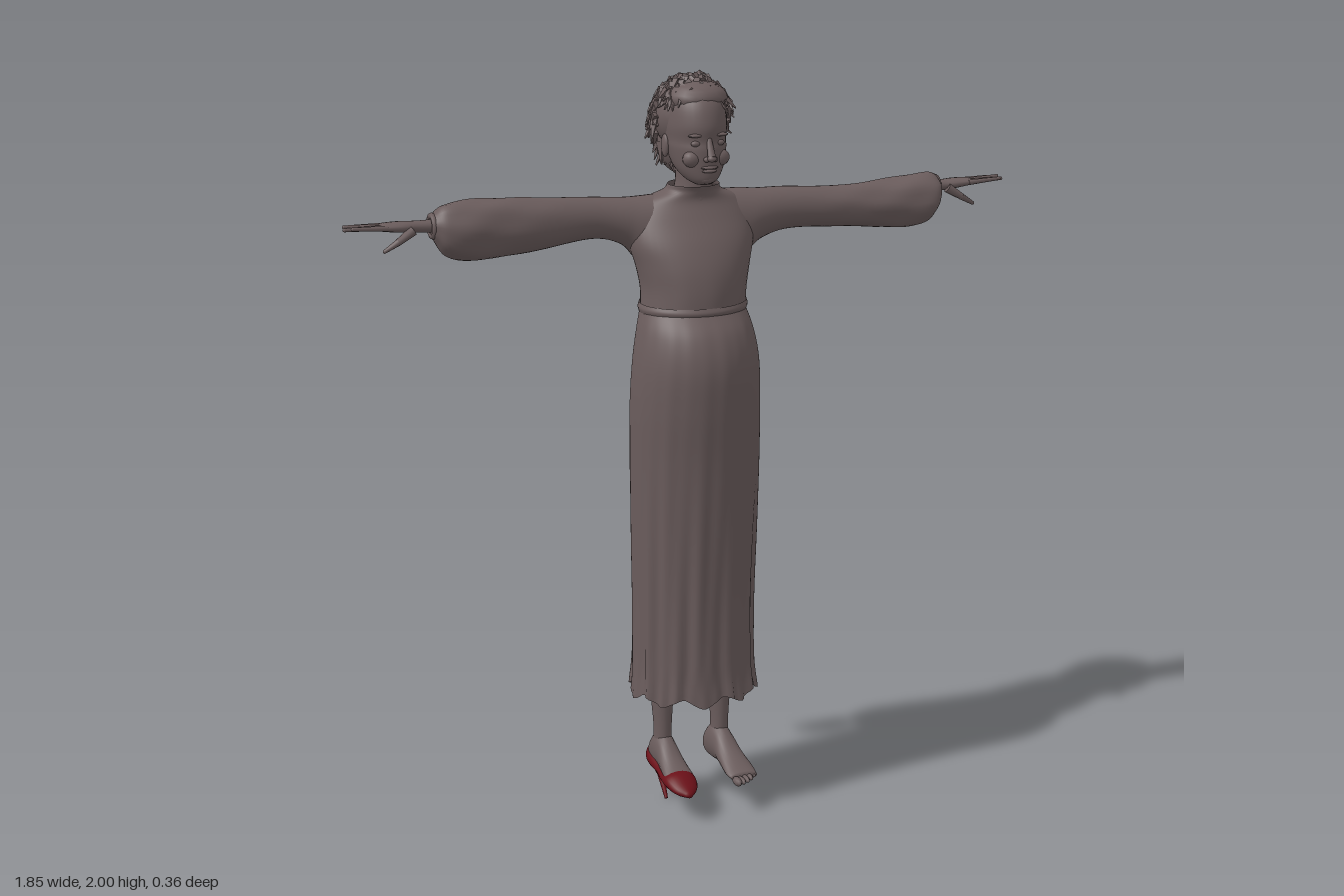
import * as THREE from 'three';
import { mergeGeometries } from 'three/addons/utils/BufferGeometryUtils.js';

const grey = new THREE.MeshStandardMaterial({ color: 0x6a5c5c, side: THREE.DoubleSide });
grey.name = 'grey brown';
const red = new THREE.MeshStandardMaterial({ color: 0x6a1018, side: THREE.DoubleSide });
red.name = 'dark red';

let seed = 7;
const rnd = () => (seed = (seed * 16807) % 2147483647) / 2147483647;
const V = (x, y, z) => new THREE.Vector3(x, y, z);
const { smoothstep, lerp } = THREE.MathUtils;

// Closed rings along an axis. Row: [t, a0, a1, b0, b1]; axis y -> a=z b=x, x -> a=y b=z, z -> a=x b=y
function loft(axis, rows, { seg = 28, sub = 5, fold = () => 1, shift = () => 0, caps = true } = {}) {
  rows = [...rows].sort((p, q) => p[0] - q[0]);
  const c1 = new THREE.CatmullRomCurve3(rows.map(r => V(r[0], r[1], r[2])), false, 'catmullrom', 0.5);
  const c2 = new THREE.CatmullRomCurve3(rows.map(r => V(r[3], r[4], 0)), false, 'catmullrom', 0.5);
  const put = (t, a, b) => axis === 'y' ? [b, t, a] : axis === 'x' ? [t, a, b] : [a, b, t];
  const n = (rows.length - 1) * sub, pos = [], idx = [], ends = [];
  for (let i = 0; i <= n; i++) {
    const p = c1.getPoint(i / n), q = c2.getPoint(i / n);
    const ca = (p.y + p.z) / 2, cb = (q.x + q.y) / 2;
    if (i === 0 || i === n) ends.push(put(p.x, ca, cb));
    for (let j = 0; j < seg; j++) {
      const th = j / seg * Math.PI * 2, f = fold(th, p.x);
      pos.push(...put(p.x + shift(th, p.x), ca + (p.z - p.y) / 2 * f * Math.cos(th), cb + (q.y - q.x) / 2 * f * Math.sin(th)));
      if (i < n) {
        const k = i * seg + j, l = i * seg + (j + 1) % seg;
        idx.push(k, l, l + seg, k, l + seg, k + seg);
      }
    }
  }
  if (caps) {
    const s = pos.length / 3;
    pos.push(...ends[0], ...ends[1]);
    for (let j = 0; j < seg; j++) {
      const l = (j + 1) % seg;
      idx.push(s, l, j, s + 1, n * seg + j, n * seg + l);
    }
  }
  const g = new THREE.BufferGeometry();
  g.setAttribute('position', new THREE.Float32BufferAttribute(pos, 3));
  g.setIndex(idx);
  g.computeVertexNormals();
  return g;
}

// Tapered rod between two points
function rod(p, q, r0, r1, seg = 8) {
  const d = q.clone().sub(p), g = new THREE.CylinderGeometry(r1, r0, d.length(), seg);
  g.applyQuaternion(new THREE.Quaternion().setFromUnitVectors(V(0, 1, 0), d.normalize()));
  return g.translate((p.x + q.x) / 2, (p.y + q.y) / 2, (p.z + q.z) / 2);
}
const ball = (x, y, z, rx, ry, rz, s = 16) => new THREE.SphereGeometry(1, s, s * 0.75).scale(rx, ry, rz).translate(x, y, z);

export function createModel() {
  const model = new THREE.Group();
  const add = (name, geo, mat = grey, parent = model) => {
    const m = new THREE.Mesh(geo, mat);
    m.name = name;
    parent.add(m);
    return m;
  };

  // Long skirt with a rounded belly, deepening pleats and an uneven hem
  add('skirt', loft('y', [
    [0.335, -0.15, 0.155, -0.19, 0.165], [0.42, -0.145, 0.15, -0.185, 0.155],
    [0.6, -0.142, 0.15, -0.184, 0.152], [0.8, -0.145, 0.157, -0.187, 0.157],
    [1.0, -0.145, 0.168, -0.19, 0.16], [1.15, -0.14, 0.182, -0.19, 0.156],
    [1.26, -0.133, 0.186, -0.184, 0.15], [1.34, -0.122, 0.165, -0.172, 0.137],
    [1.4, -0.113, 0.12, -0.156, 0.122],
  ], {
    seg: 120, sub: 6, caps: false,
    fold: (th, y) => {
      const k = 0.028 * (1 - smoothstep(y, 0.4, 1.2)) + 0.006 * smoothstep(1.42 - y, 0, 0.1);
      return 1 - k * (0.6 + Math.sin(13 * th + 2 * y) * 0.7 + Math.sin(22 * th - 3 * y) * 0.5)
        + 0.02 * (1 - smoothstep(y, 0.33, 0.45)) * Math.sin(27 * th);
    },
    shift: (th, y) => 0.012 * Math.sin(9 * th) * (1 - smoothstep(y, 0.33, 0.45)),
  }));

  // Bodice and waist seam
  add('bodice', loft('y', [
    [1.385, -0.114, 0.12, -0.156, 0.123], [1.45, -0.128, 0.118, -0.153, 0.131],
    [1.51, -0.135, 0.106, -0.163, 0.146], [1.57, -0.14, 0.08, -0.178, 0.164],
    [1.63, -0.138, 0.042, -0.172, 0.162], [1.67, -0.125, 0.02, -0.135, 0.135],
    [1.695, -0.103, 0.022, -0.078, 0.08], [1.712, -0.098, 0.03, -0.066, 0.07],
  ], {
    seg: 48, caps: false,
    fold: (th, y) => 1 + 0.008 * Math.sin(11 * th + 5 * y) * (1 - smoothstep(y, 1.4, 1.56)),
  }));
  add('waistSeam', loft('y', [[1.388, -0.118, 0.124, -0.159, 0.127], [1.4, -0.121, 0.128, -0.162, 0.131],
    [1.412, -0.12, 0.123, -0.158, 0.129]], { seg: 48, caps: false }));

  // Puffed sleeves: [distance, bottom, top, back, front]
  const sleeves = {
    left: [[0.07, 1.5, 1.688, -0.125, 0.02], [0.14, 1.505, 1.686, -0.125, 0.015], [0.19, 1.545, 1.682, -0.112, 0.008],
      [0.27, 1.567, 1.68, -0.108, 0], [0.4, 1.564, 1.672, -0.104, 0], [0.53, 1.553, 1.675, -0.106, 0.008],
      [0.63, 1.545, 1.685, -0.112, 0.016], [0.69, 1.56, 1.688, -0.11, 0.014], [0.715, 1.6, 1.68, -0.1, -0.005], [0.72, 1.625, 1.668, -0.085, -0.03]],
    right: [[0.07, 1.5, 1.688, -0.125, 0.02], [0.14, 1.51, 1.684, -0.122, 0.012], [0.19, 1.56, 1.684, -0.11, 0],
      [0.27, 1.582, 1.69, -0.103, -0.01], [0.4, 1.567, 1.698, -0.108, -0.005], [0.53, 1.552, 1.705, -0.118, 0],
      [0.61, 1.554, 1.705, -0.12, 0.003], [0.665, 1.57, 1.698, -0.11, -0.005], [0.69, 1.605, 1.68, -0.095, -0.02], [0.7, 1.625, 1.668, -0.085, -0.03]],
  };
  for (const [side, s, wrist] of [['left', 1, 0.715], ['right', -1, 0.69]]) {
    add(side + 'Sleeve', loft('x', sleeves[side].map(([t, ...r]) => [t * s, ...r]), {
      seg: 32, sub: 6,
      fold: (th, x) => 1 + smoothstep(Math.abs(x), 0.25, 0.6) * (0.022 * Math.sin(4 * th + x * 38) + 0.02 * Math.sin(7 * th - x * 17)),
    }));
    add(side + 'Cuff', new THREE.TorusGeometry(0.026, 0.008, 8, 20).rotateY(Math.PI / 2).translate(s * (wrist + 0.005), 1.647, -0.058));

    // Hand with four fingers and a lowered thumb
    const hand = new THREE.Group();
    hand.name = side + 'Hand';
    model.add(hand);
    add('palm', loft('x', [[0.68, 1.63, 1.665, -0.078, -0.038], [0.735, 1.634, 1.664, -0.077, -0.04],
      [0.775, 1.637, 1.665, -0.088, -0.034], [0.815, 1.642, 1.664, -0.09, -0.034], [0.83, 1.647, 1.661, -0.086, -0.038]]
      .map(([t, ...r]) => [t * s, ...r]), { seg: 16 }), grey, hand);
    [0.895, 0.918, 0.921, 0.905].forEach((tip, i) => {
      const z = -0.083 + i * 0.0143, a = V(s * 0.815, 1.653, z), b = V(s * tip, 1.655 + (i % 2) * 0.004, z * 1.25 + 0.015);
      add('finger', mergeGeometries([rod(a, b, 0.0075, 0.0048), ball(b.x, b.y, b.z, 0.005, 0.005, 0.005, 8)]), grey, hand);
    });
    const t0 = V(s * 0.75, 1.643, -0.04), t1 = V(s * 0.79, 1.618, -0.034), t2 = V(s * 0.826, 1.597, -0.035);
    add('thumb', mergeGeometries([rod(t0, t1, 0.013, 0.009), rod(t1, t2, 0.009, 0.005),
      ball(t1.x, t1.y, t1.z, 0.009, 0.009, 0.009, 8), ball(t2.x, t2.y, t2.z, 0.005, 0.005, 0.005, 8)]), grey, hand);
  }

  // Neck and head
  add('neck', loft('y', [[1.66, -0.1, 0.02, -0.06, 0.06], [1.71, -0.085, 0.018, -0.047, 0.05],
    [1.75, -0.085, 0.02, -0.045, 0.045], [1.8, -0.095, 0.03, -0.05, 0.05]]));
  add('head', loft('y', [[1.722, 0.015, 0.06, -0.022, 0.022], [1.735, -0.03, 0.076, -0.042, 0.042],
    [1.765, -0.075, 0.08, -0.063, 0.063], [1.81, -0.11, 0.082, -0.075, 0.075], [1.835, -0.125, 0.079, -0.077, 0.077],
    [1.875, -0.135, 0.083, -0.08, 0.08], [1.93, -0.125, 0.065, -0.072, 0.072], [1.965, -0.09, 0.02, -0.045, 0.045],
    [1.975, -0.05, -0.02, -0.015, 0.015]], { seg: 36 }));
  add('nose', mergeGeometries([rod(V(0, 1.842, 0.074), V(0, 1.797, 0.093), 0.007, 0.011),
    ball(0, 1.794, 0.093, 0.012, 0.009, 0.012), ball(-0.011, 1.791, 0.085, 0.008, 0.007, 0.009, 10), ball(0.011, 1.791, 0.085, 0.008, 0.007, 0.009, 10)]));
  add('lips', mergeGeometries([ball(0, 1.769, 0.079, 0.024, 0.0045, 0.008), ball(0, 1.76, 0.077, 0.02, 0.005, 0.009)]));
  add('chin', ball(0, 1.738, 0.064, 0.022, 0.013, 0.013));
  for (const s of [1, -1]) {
    add('eye', ball(s * 0.032, 1.83, 0.066, 0.014, 0.008, 0.009));
    add('brow', ball(s * 0.033, 1.851, 0.069, 0.022, 0.005, 0.01).rotateZ(0));
    add('cheek', ball(s * 0.038, 1.79, 0.055, 0.026, 0.022, 0.02));
    add('ear', ball(s * 0.078, 1.815, -0.03, 0.009, 0.03, 0.018));
  }

  // Hair: cap, nape and ragged flat-shaded locks
  add('hairCap', mergeGeometries([ball(0.003, 1.885, -0.06, 0.098, 0.095, 0.1, 20),
    ball(0.003, 1.81, -0.095, 0.078, 0.085, 0.058, 16), ball(0.003, 1.935, -0.015, 0.08, 0.045, 0.075, 16)]));
  const locks = [];
  for (let i = 0; i < 520; i++) {
    const y = lerp(-1, 0.98, rnd()), a = rnd() * Math.PI * 2, r = Math.sqrt(1 - y * y);
    const d = V(Math.cos(a) * r, y, Math.sin(a) * r);
    if (d.z > 0.05 && d.y < 0.5 || d.z > -0.25 && d.y < -0.15) continue;
    const low = Math.max(0, -d.y);
    const p = V(0.003 + d.x * (0.104 - 0.015 * low), 1.87 + d.y * (d.y > 0 ? 0.113 : 0.12), -0.052 + d.z * (d.z > 0 ? 0.12 : 0.105));
    const dir = V(d.x * 0.7 + rnd() - 0.5, -0.75 + (rnd() - 0.5) * 1.2, d.z * 0.6 + rnd() - 0.5);
    dir.addScaledVector(d, -0.75 * dir.dot(d)).normalize();
    const len = 0.022 + rnd() * 0.028;
    const q = p.clone().addScaledVector(dir, len);
    q.y = Math.min(q.y, 1.997);
    const g = rod(p.addScaledVector(dir, -len * 0.4), q, 0.012, 0.002, 4).toNonIndexed();
    g.computeVertexNormals();
    locks.push(g);
  }
  add('hairLocks', mergeGeometries(locks));

  // Legs and feet: foot rows are [z, half width, bottom, top]
  const footRows = [[-0.098, 0.012, 0.095, 0.135], [-0.085, 0.027, 0.083, 0.165], [-0.05, 0.032, 0.081, 0.195],
    [-0.012, 0.032, 0.085, 0.182], [0.035, 0.037, 0.084, 0.145], [0.085, 0.042, 0.08, 0.115], [0.115, 0.038, 0.08, 0.1]];
  const shoeRows = [[-0.1, 0.014, 0.088, 0.14], [-0.088, 0.031, 0.078, 0.142], [-0.05, 0.036, 0.078, 0.13],
    [0, 0.037, 0.082, 0.12], [0.045, 0.042, 0.075, 0.118], [0.09, 0.044, 0.07, 0.12], [0.13, 0.032, 0.07, 0.103], [0.156, 0.008, 0.074, 0.086]];
  const wide = (cx, rows, slant = 0) => rows.map(([z, w, b, t]) => [z, cx + z * slant - w, cx + z * slant + w, b, t]);
  for (const [side, cx] of [['left', 0.083], ['right', -0.086]]) {
    add(side + 'Leg', loft('y', [[0.13, -0.082, -0.015, cx - 0.028, cx + 0.028], [0.2, -0.075, -0.015, cx - 0.024, cx + 0.024],
      [0.3, -0.085, -0.01, cx - 0.031, cx + 0.031], [0.42, -0.095, 0, cx - 0.042, cx + 0.042],
      [0.6, -0.08, 0.02, cx - 0.045, cx + 0.045], [0.9, -0.09, 0.06, cx - 0.06, cx + 0.06]], { seg: 20 }));
    add(side + 'Foot', loft('z', wide(cx, footRows, side === 'left' ? 0.06 : 0), { seg: 20 }));
  }
  for (let i = 0; i < 5; i++)
    add('toe', ball(0.061 + i * 0.0145, 0.088, 0.133 - i * i * 0.0022, i ? 0.0075 : 0.011, i ? 0.009 : 0.012, 0.022, 10));

  // Single red pump with a slim raked heel
  add('shoe', loft('z', wide(-0.088, shoeRows), { seg: 24 }), red);
  add('shoeHeel', mergeGeometries([rod(V(-0.088, 0.1, -0.078), V(-0.088, 0.06, -0.055), 0.024, 0.01, 12),
    rod(V(-0.088, 0.062, -0.056), V(-0.088, 0.003, -0.014), 0.01, 0.0045, 12)]), red);
  return model;
}
